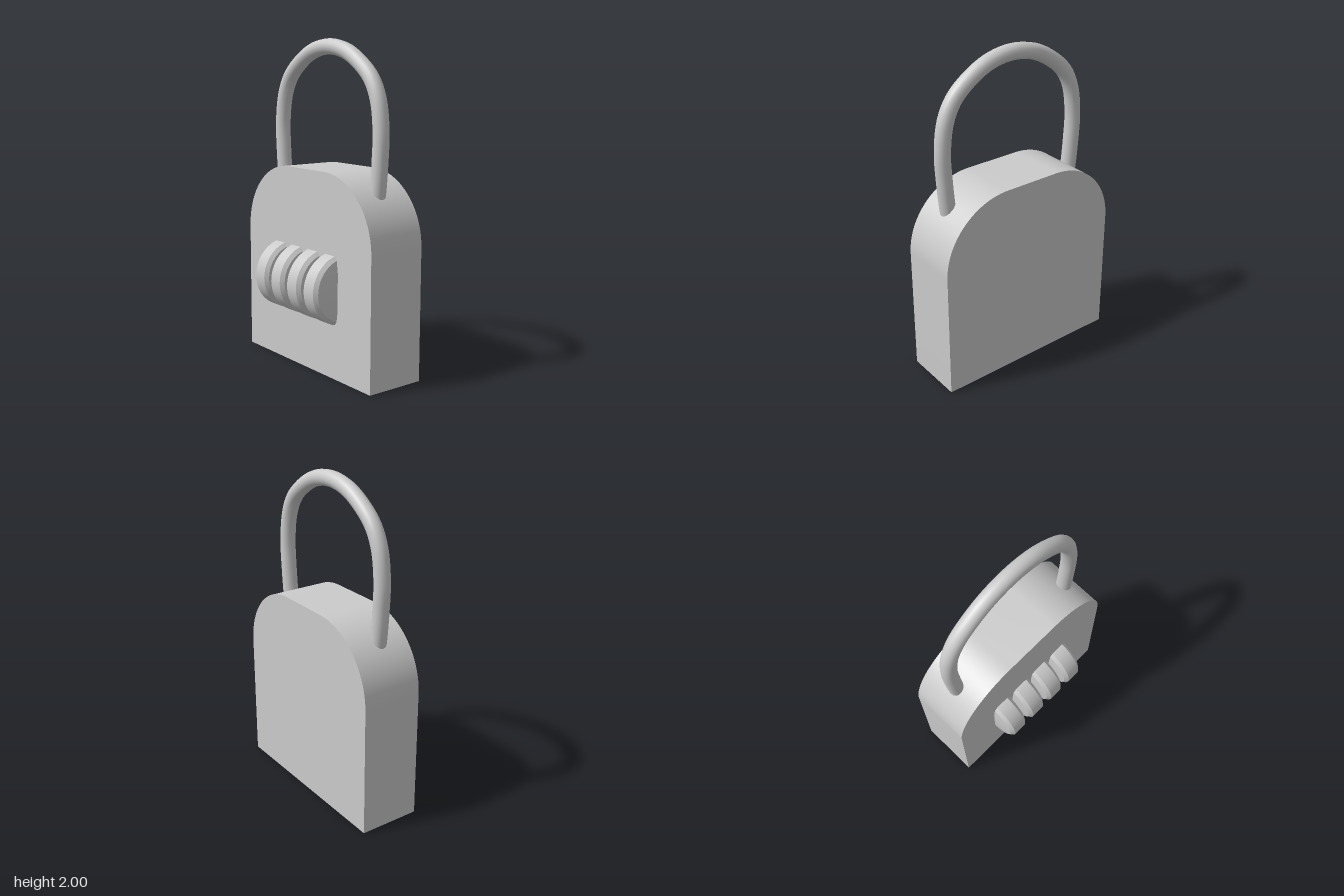
import * as THREE from 'three';
import { toCreasedNormals } from 'three/addons/utils/BufferGeometryUtils.js';

const material = new THREE.MeshStandardMaterial({ color: 0xcccccc });

function addMesh(parent, name, geometry) {
  const mesh = new THREE.Mesh(geometry, material);
  mesh.name = name;
  parent.add(mesh);
  return mesh;
}

// Slab with two large rounded shoulders, extruded along x
function bodyGeometry() {
  const half = 0.61, height = 1.23, r = 0.43;
  const shape = new THREE.Shape();
  shape.moveTo(-half, 0);
  shape.lineTo(half, 0);
  shape.lineTo(half, height - r);
  shape.absarc(half - r, height - r, r, 0, Math.PI / 2);
  shape.lineTo(r - half, height);
  shape.absarc(r - half, height - r, r, Math.PI / 2, Math.PI);
  shape.closePath();
  const geometry = new THREE.ExtrudeGeometry(shape, {
    depth: 0.38, bevelEnabled: false, curveSegments: 20,
  });
  geometry.rotateY(Math.PI / 2).translate(-0.112, 0, 0);
  return toCreasedNormals(geometry, 0.5);
}

// Bent rod, mirrored about z = 0, with its ends buried in the body
function shackleGeometry() {
  const side = [
    [0.43, 0.95], [0.456, 1.12], [0.472, 1.3], [0.478, 1.475], [0.452, 1.65],
    [0.394, 1.765], [0.295, 1.853], [0.16, 1.925],
  ];
  const points = [
    ...side,
    [0, 1.952],
    ...side.map(([z, y]) => [-z, y]).reverse(),
  ].map(([z, y]) => new THREE.Vector3(0.065, y, z));
  return new THREE.TubeGeometry(new THREE.CatmullRomCurve3(points), 80, 0.048, 16);
}

// Number wheel with softened rims, its axis along z
function dialGeometry() {
  const profile = [
    [0, -0.075], [0.125, -0.075], [0.192, -0.065], [0.215, -0.045],
    [0.215, 0.045], [0.192, 0.065], [0.125, 0.075], [0, 0.075],
  ].map(([r, y]) => new THREE.Vector2(r, y));
  const geometry = new THREE.LatheGeometry(profile, 40).rotateX(Math.PI / 2);
  return toCreasedNormals(geometry, 0.3);
}

export function createModel() {
  const model = new THREE.Group();
  model.name = 'combinationPadlock';

  addMesh(model, 'body', bodyGeometry());
  addMesh(model, 'shackle', shackleGeometry());

  // Row of four wheels, half sunk into the face
  const dials = new THREE.Group();
  dials.name = 'dials';
  const dial = dialGeometry();
  for (let i = 0; i < 4; i++) {
    addMesh(dials, `dial${i + 1}`, dial).position.set(-0.055, 0.54, -0.261 + i * 0.167);
  }
  model.add(dials);

  return model;
}
